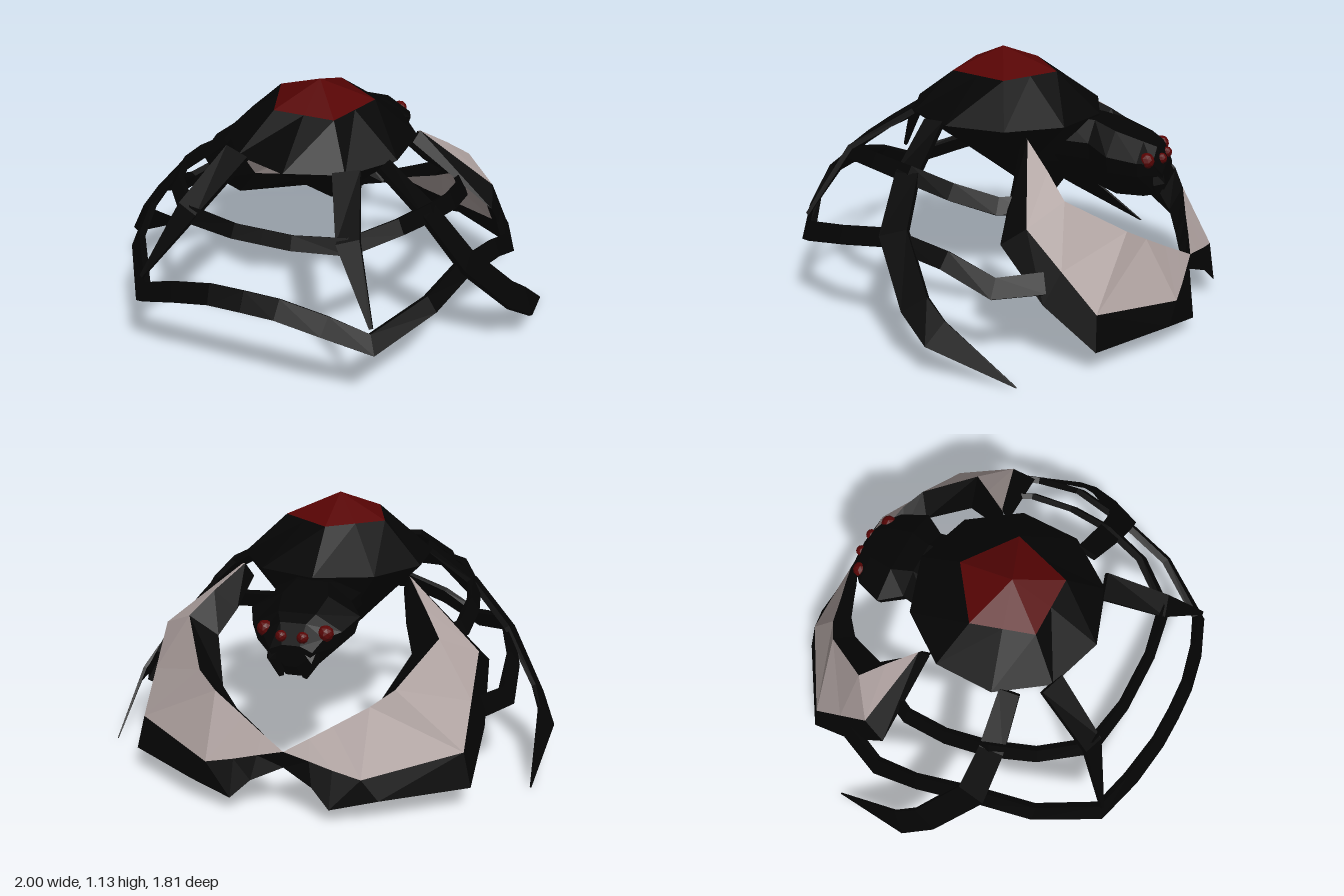
import * as THREE from 'three';

const V = (x, y, z) => new THREE.Vector3(x, y, z);
const material = (name, color) =>
  new THREE.MeshStandardMaterial({ name, color, flatShading: true, side: THREE.DoubleSide });

// Skin between rows of points (each row has the same number of points)
function skin(rows, closed) {
  const pos = [];
  const tri = (a, b, c) => {
    if (a.distanceTo(b) < 1e-5 || b.distanceTo(c) < 1e-5 || c.distanceTo(a) < 1e-5) return;
    for (const p of [a, b, c]) pos.push(p.x, p.y, p.z);
  };
  for (let i = 0; i < rows.length - 1; i++) {
    const n = rows[i].length;
    for (let j = 0; j < (closed ? n : n - 1); j++) {
      const k = (j + 1) % n;
      tri(rows[i][j], rows[i + 1][j], rows[i + 1][k]);
      tri(rows[i][j], rows[i + 1][k], rows[i][k]);
    }
  }
  const g = new THREE.BufferGeometry();
  g.setAttribute('position', new THREE.Float32BufferAttribute(pos, 3));
  g.computeVertexNormals();
  return g;
}

// Rectangular bar along points [x, y, z, width, height, lean]; lean rolls the section
function bar(list) {
  const pts = list.map(p => V(p[0], p[1], p[2]));
  const rows = pts.map((p, i) => {
    const [w, h, lean] = [list[i][3] / 2, list[i][4] / 2, list[i][5]];
    const dir = pts[Math.min(i + 1, pts.length - 1)].clone().sub(pts[Math.max(i - 1, 0)]).normalize();
    const side = V(0, 1, 0).cross(dir).normalize().applyAxisAngle(dir, -lean);
    const up = dir.clone().cross(side);
    return [[1, 1], [-1, 1], [-1, -1], [1, -1]].map(([a, b]) =>
      p.clone().addScaledVector(side, a * w).addScaledVector(up, b * h));
  });
  const cap = p => [p, p, p, p];
  return skin([cap(pts[0]), ...rows, cap(pts[pts.length - 1])], true);
}

export function createModel() {
  const model = new THREE.Group();
  model.name = 'spiderMask';
  const black = material('black', 0x040404);
  const red = material('darkRed', 0x570404);
  const grey = material('warmGrey', 0xaea19f);
  const add = (name, geometry, mat) => {
    const m = new THREE.Mesh(geometry, mat);
    m.name = name;
    model.add(m);
  };
  // Adds a left part and its mirror image
  const addPair = (name, geometry, mat) => {
    add('left' + name, geometry, mat);
    const mirrored = geometry.clone().scale(-1, 1, 1);
    mirrored.computeVertexNormals();
    add('right' + name, mirrored, mat);
  };

  // Abdomen: ten-sided rings, the top one drawn in to a pentagon
  const ring = (y, cz, rx, rz, pent) => Array.from({ length: 10 }, (_, i) => {
    const a = i * Math.PI / 5;
    const r = pent && i % 2 ? Math.cos(Math.PI / 5) : 1;
    return V(rx * r * Math.sin(a), y, cz - rz * r * Math.cos(a));
  });
  const top = ring(1.04, 0.04, 0.235, 0.24, true);
  add('abdomen', skin([
    top, ring(0.87, 0.03, 0.42, 0.43), ring(0.68, -0.07, 0.22, 0.26),
    ring(0.49, -0.14, 0.03, 0.06), ring(0.48, -0.14, 0, 0),
  ], true), black);
  add('abdomenCap', skin([ring(1.135, 0.05, 0, 0), top], true), red);

  // Head: sections along z as [z, half width, bottom, top], narrow underneath
  const section = ([z, rx, lo, hi]) => [
    [0.42, 1], [1, 0.75], [0.9, 0.5], [0.25, 0], [-0.25, 0], [-0.9, 0.5], [-1, 0.75], [-0.42, 1],
  ].map(([u, v]) => V(u * rx, lo + v * (hi - lo), z));
  add('head', skin([
    [-0.25, 0.2, 0.58, 0.87], [-0.4, 0.17, 0.56, 0.86], [-0.5, 0.235, 0.53, 0.83],
    [-0.62, 0.19, 0.53, 0.79], [-0.675, 0.13, 0.54, 0.765], [-0.71, 0.09, 0.59, 0.68],
    [-0.71, 0, 0.64, 0.64],
  ].map(section), true), black);

  // Eyes and fangs
  for (const [name, x, y, z, r] of [
    ['OuterEye', 0.128, 0.722, -0.648, 0.035], ['InnerEye', 0.045, 0.712, -0.693, 0.025]]) {
    addPair(name, new THREE.IcosahedronGeometry(r, 1).translate(x, y, z), red);
  }
  addPair('Fang', bar([
    [0.06, 0.66, -0.66, 0.08, 0.06, 0], [0.07, 0.61, -0.685, 0.07, 0.05, 0], [0.05, 0.535, -0.68, 0.01, 0.02, 0],
  ]), black);

  // Legs: flat straps that follow the dome
  addPair('FrontLeg', bar([
    [0.25, 0.88, 0.37, 0.12, 0.025, -0.2], [0.36, 0.71, 0.63, 0.1, 0.025, -0.4],
    [0.52, 0.43, 0.78, 0.015, 0.015, -0.6],
  ]), black);
  addPair('SideLeg', bar([
    [0.36, 0.87, 0.23, 0.09, 0.025, 0], [0.58, 0.7, 0.26, 0.11, 0.025, -0.1],
    [0.75, 0.5, 0.25, 0.13, 0.025, -0.5], [0.91, 0.275, 0.09, 0.13, 0.02, -0.85],
    [0.965, 0.19, -0.02, 0.13, 0.015, -1.07], [0.95, 0.005, -0.36, 0.005, 0.005, -1.07],
  ]), black);

  // Claw: rows of points running from the hip round to the middle
  const row = list => list.map(p => V(...p));
  const plateOut = row([[0.38, 0.845, -0.2], [0.7, 0.58, -0.31], [0.7, 0.415, -0.46], [0.7, 0.25, -0.61],
    [0.33, 0.19, -0.85], [0.21, 0.215, -0.845], [0.11, 0.24, -0.838], [0, 0.265, -0.83]]);
  const plateIn = row([[0.37, 0.845, -0.19], [0.47, 0.75, -0.32], [0.55, 0.66, -0.42], [0.42, 0.51, -0.65],
    [0.33, 0.45, -0.71], [0.19, 0.37, -0.76], [0.1, 0.32, -0.795], [0, 0.265, -0.83]]);
  const rimOut = row([[0.36, 0.8, -0.16], [0.73, 0.51, -0.21], [0.75, 0.28, -0.4], [0.735, 0.1, -0.62],
    [0.4, 0.1, -0.84], [0.21, 0.065, -0.9], [0.13, 0.14, -0.87], [0, 0.195, -0.83]]);
  const rimIn = row([[0.34, 0.78, -0.16], [0.38, 0.66, -0.28], [0.43, 0.57, -0.39], [0.34, 0.42, -0.59],
    [0.25, 0.36, -0.67], [0.13, 0.3, -0.73], [0.07, 0.26, -0.76], [0, 0.21, -0.8]]);
  // Smaller grey panel on the inside of the claw
  const lensOut = row([[0.5, 0.62, -0.29], [0.6, 0.57, -0.33], [0.635, 0.4, -0.46], [0.635, 0.235, -0.6],
    [0.32, 0.187, -0.81], [0.22, 0.21, -0.815], [0.14, 0.235, -0.82], [0.08, 0.25, -0.82]]);
  const lensIn = row([[0.5, 0.62, -0.29], [0.5, 0.59, -0.36], [0.48, 0.53, -0.44], [0.4, 0.43, -0.62],
    [0.34, 0.39, -0.69], [0.22, 0.325, -0.75], [0.14, 0.28, -0.79], [0.08, 0.25, -0.82]]);
  for (const [name, a, b, mat] of [
    ['ClawPlate', plateOut, plateIn, grey], ['ClawOuterRim', plateOut, rimOut, black],
    ['ClawInnerRim', plateIn, rimIn, black], ['ClawInsidePanel', lensOut, lensIn, grey],
    ['ClawInsideOuterFrame', rimOut, lensOut, black], ['ClawInsideInnerFrame', rimIn, lensIn, black],
  ]) addPair(name, skin([a, b], false), mat);

  // Web strands from the middle of the front round to the claw
  addPair('OuterWeb', bar([
    [0, 0.49, 0.875, 0.02, 0.09, 0.5], [0.15, 0.485, 0.87, 0.02, 0.09, 0.5], [0.34, 0.43, 0.835, 0.025, 0.09, 0.5],
    [0.52, 0.35, 0.775, 0.03, 0.09, 0.5], [0.68, 0.43, 0.52, 0.03, 0.08, 0.5], [0.74, 0.475, 0.28, 0.03, 0.08, 0.5],
    [0.805, 0.44, 0, 0.025, 0.08, 0.5], [0.81, 0.35, -0.21, 0.03, 0.09, 0.5], [0.73, 0.37, -0.4, 0.03, 0.09, 0.5],
  ]), black);
  addPair('InnerWeb', bar([
    [0, 0.68, 0.67, 0.02, 0.065, 0.5], [0.13, 0.68, 0.67, 0.02, 0.065, 0.5], [0.36, 0.69, 0.63, 0.03, 0.075, 0.5],
    [0.51, 0.715, 0.44, 0.03, 0.07, 0.5], [0.58, 0.7, 0.25, 0.03, 0.075, 0.5], [0.61, 0.66, 0.05, 0.025, 0.075, 0.5],
    [0.6, 0.62, -0.15, 0.025, 0.075, 0.5], [0.54, 0.62, -0.27, 0.025, 0.075, 0.5],
  ]), black);
  return model;
}
